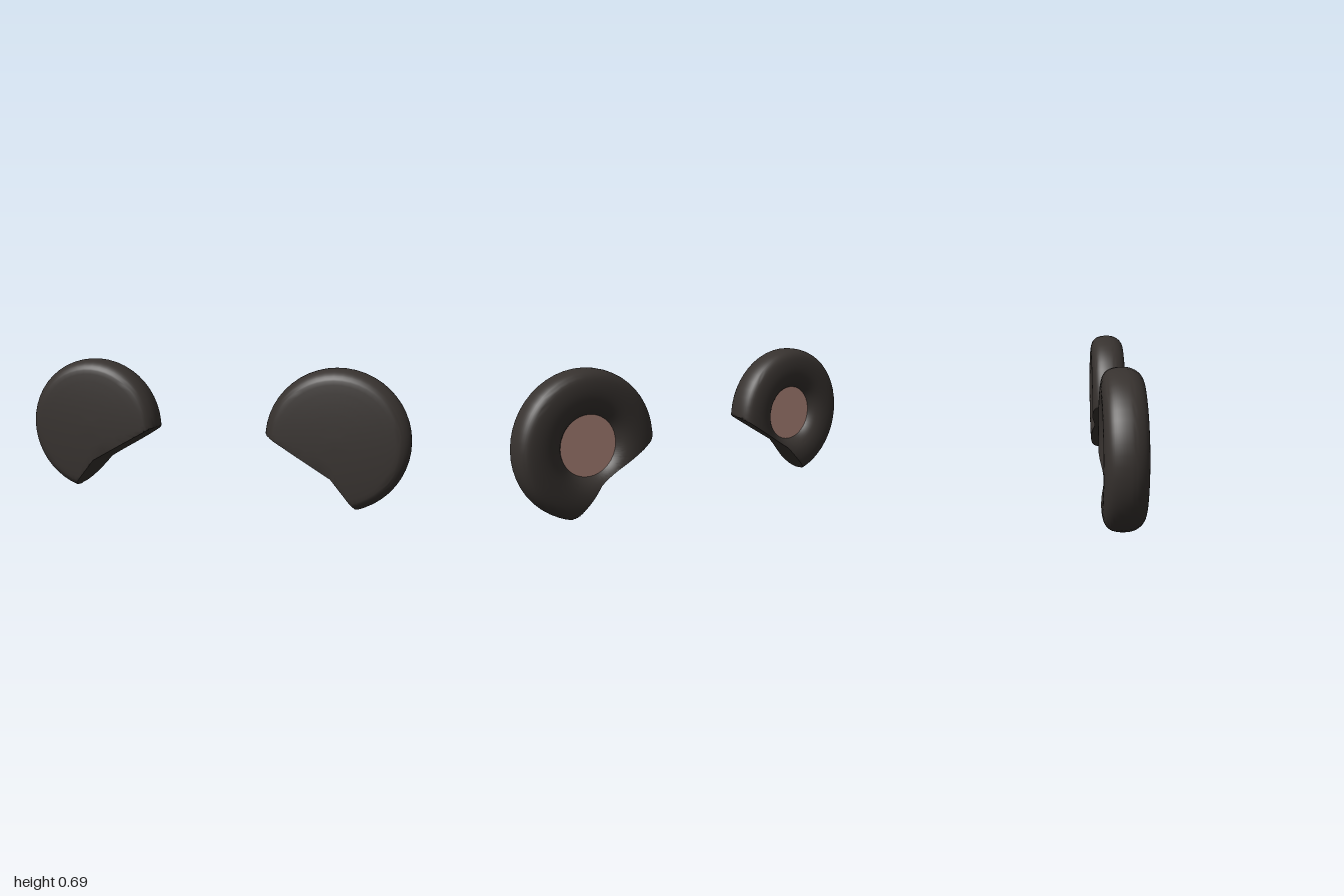
import * as THREE from 'three';
import { toCreasedNormals } from 'three/addons/utils/BufferGeometryUtils.js';

const CX = 0.643, CY = 0.34;

// Half section of the ear (radius, z): domed front, round rim, recess in the back
const profile = new THREE.SplineCurve([
  [0, 0.097], [0.15, 0.094], [0.285, 0.086], [0.317, 0.077], [0.338, 0.057], [0.351, 0.03],
  [0.355, 0], [0.353, -0.035], [0.343, -0.065], [0.322, -0.085], [0.29, -0.095], [0.25, -0.098],
  [0.21, -0.093], [0.178, -0.079], [0.155, -0.058], [0.14, -0.035],
].map(([r, z]) => new THREE.Vector2(r, z))).getPoints(45);
const widest = profile.reduce((best, p, i) => (p.x > profile[best].x ? i : best), 0);

// z of the front or back surface at radius r
function surfaceZ(r, back) {
  const side = back ? profile.slice(widest).reverse() : profile.slice(0, widest + 1);
  for (let i = 1; i < side.length; i++) {
    if (r <= side[i].x) {
      const a = side[i - 1], b = side[i];
      return THREE.MathUtils.lerp(a.y, b.y, THREE.MathUtils.clamp((r - a.x) / (b.x - a.x), 0, 1));
    }
  }
  return side[side.length - 1].y;
}

// Distance from the ear centre to the bent cut, which slants slightly from front to back
function cutDistance(angle, z) {
  const k = THREE.MathUtils.clamp((z + 0.097) / 0.194, 0, 1);
  const mix = (a, b) => THREE.MathUtils.lerp(a, b, k);
  const pts = [
    [0.285, mix(0.345, 0.368)],
    [mix(0.6, 0.63), mix(0.15, 0.166)],
    [mix(0.745, 0.765), 0],
  ].map(([x, y]) => [x - CX, y - CY]);
  const dx = Math.cos(angle), dy = Math.sin(angle);
  const hit = ([ax, ay], [bx, by]) => {
    const nx = by - ay, ny = ax - bx;
    const toward = dx * nx + dy * ny;
    return toward > 1e-5 ? (ax * nx + ay * ny) / toward : Infinity;
  };
  return Math.max(hit(pts[0], pts[1]), hit(pts[1], pts[2]));
}

// Ear body swept around its centre, with everything past the cut flattened onto it
function earGeometry(side) {
  const angles = [];
  for (let d = -80; d < 175; d += d < -65 ? 1 : 7.5) angles.push(d);
  for (let d = 175; d < 280; d += 1.5) angles.push(d);
  const n = angles.length, m = profile.length, pos = [], index = [];
  for (const deg of angles) {
    const a = THREE.MathUtils.degToRad(deg);
    for (const p of profile) {
      let r = p.x, z = p.y;
      if (r > cutDistance(a, z)) {
        const mid = cutDistance(a, 0);
        const front = surfaceZ(cutDistance(a, 0.09), false);
        const back = surfaceZ(cutDistance(a, -0.09), true);
        z = THREE.MathUtils.clamp(z, back, front);
        r = Math.min(r, cutDistance(a, z), Math.max(mid, 0.355));
      }
      pos.push(side * (CX + r * Math.cos(a)), CY + r * Math.sin(a), z);
    }
  }
  for (let i = 0; i < n; i++) {
    for (let j = 0; j < m - 1; j++) {
      const a = i * m + j, b = a + 1, d = ((i + 1) % n) * m + j, c = d + 1;
      if (side > 0) index.push(a, b, c, a, c, d);
      else index.push(a, c, b, a, d, c);
    }
  }
  const g = new THREE.BufferGeometry();
  g.setAttribute('position', new THREE.Float32BufferAttribute(pos, 3));
  g.setIndex(index);
  return toCreasedNormals(g, 0.7);
}

export function createModel() {
  const model = new THREE.Group();
  model.name = 'earPair';
  const furMaterial = new THREE.MeshStandardMaterial({ color: 0x37322f, side: THREE.DoubleSide });
  const padMaterial = new THREE.MeshStandardMaterial({ color: 0xb48a7e });

  for (const side of [1, -1]) {
    const ear = new THREE.Group();
    ear.name = side > 0 ? 'leftEar' : 'rightEar';

    const body = new THREE.Mesh(earGeometry(side), furMaterial);
    body.name = 'earBody';

    // Pink pad in the recess, facing the back
    const pad = new THREE.Mesh(new THREE.CircleGeometry(0.146, 40), padMaterial);
    pad.name = 'innerPad';
    pad.rotation.y = Math.PI;
    pad.position.set(side * CX, CY, -0.045);

    ear.add(body, pad);
    model.add(ear);
  }
  return model;
}
